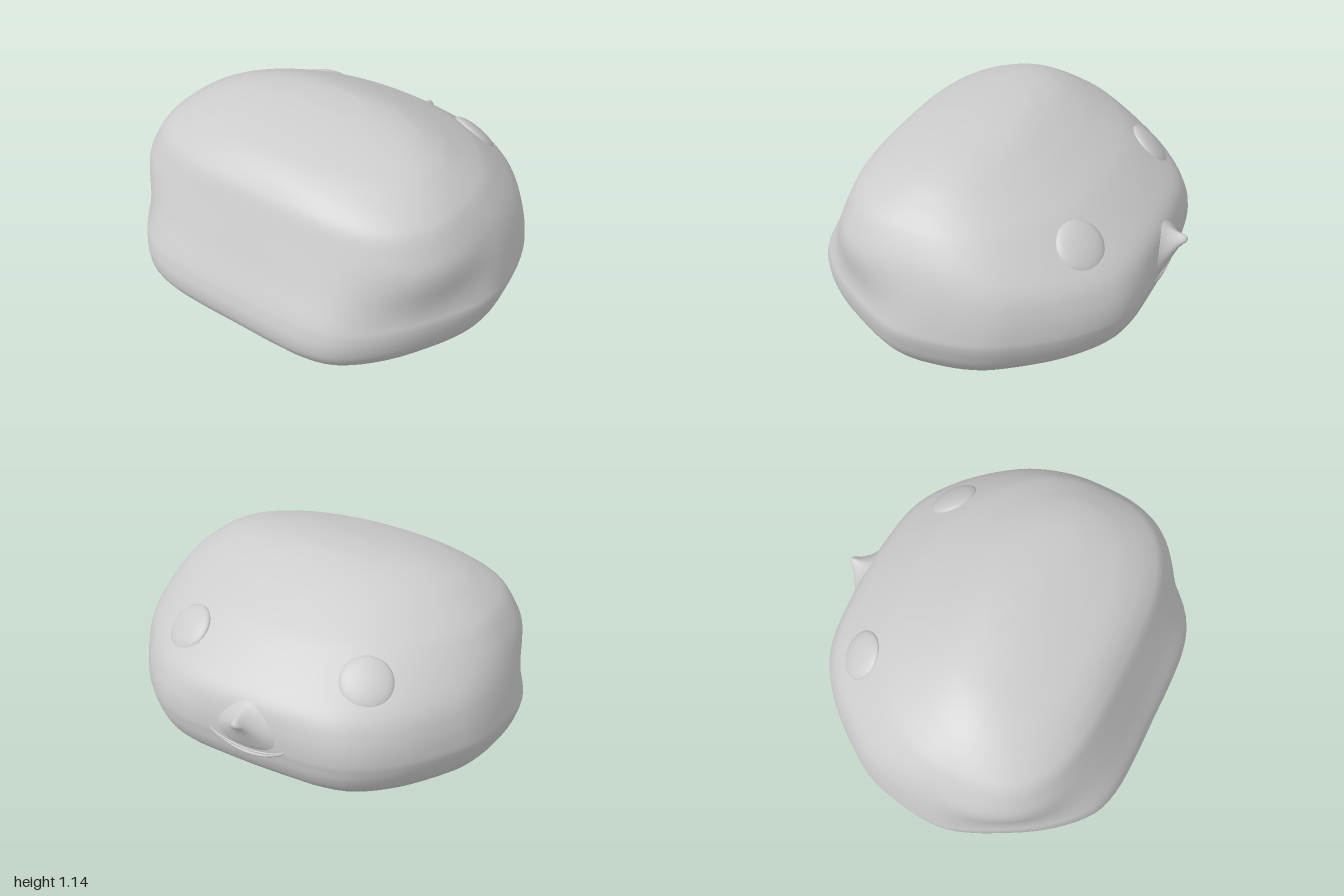
import * as THREE from 'three';

const { lerp, smoothstep } = THREE.MathUtils;
const material = new THREE.MeshStandardMaterial({ color: 0xcccccc, side: THREE.DoubleSide });

// Smooth skin over closed rings of points
function loft(rings) {
  const n = rings[0].length, index = [];
  for (let i = 0; i < rings.length - 1; i++) {
    for (let j = 0; j < n; j++) {
      const k = (j + 1) % n;
      const a = i * n + j, b = a + n, c = i * n + k, d = c + n;
      index.push(a, c, b, c, d, b);
    }
  }
  const geometry = new THREE.BufferGeometry().setFromPoints(rings.flat());
  geometry.setIndex(index);
  geometry.computeVertexNormals();
  return geometry;
}

function mesh(name, geometry) {
  const m = new THREE.Mesh(geometry, material);
  m.name = name;
  return m;
}

// Plan outline of one side: [along the length, half width], nose end to tail end
const PLAN = [
  [1, 0], [0.995, 0.2], [0.985, 0.35], [0.955, 0.47], [0.9, 0.565], [0.785, 0.69], [0.67, 0.78],
  [0.555, 0.855], [0.44, 0.92], [0.3, 0.965], [0.13, 0.992], [0, 1], [-0.13, 0.988], [-0.25, 0.955],
  [-0.385, 0.905], [-0.64, 0.79], [-0.83, 0.665], [-0.936, 0.555], [-0.985, 0.42], [-1, 0.25], [-1, 0],
];

// Body levels from crown to underside: height, tail x, face x, half width
const LEVELS = [
  [1.14, -0.06, -0.06, 0], [1.137, -0.12, 0, 0.1], [1.13, -0.19, 0.05, 0.23], [1.1, -0.33, 0.14, 0.46],
  [1.05, -0.49, 0.25, 0.62], [1, -0.575, 0.345, 0.71], [0.95, -0.625, 0.435, 0.78],
  [0.9, -0.66, 0.515, 0.833], [0.8, -0.705, 0.645, 0.9], [0.7, -0.75, 0.752, 0.943],
  [0.6, -0.795, 0.788, 0.972], [0.5, -0.845, 0.795, 0.994], [0.45, -0.865, 0.79, 1],
  [0.38, -0.88, 0.775, 0.985], [0.3, -0.865, 0.73, 0.955], [0.2, -0.78, 0.615, 0.88],
  [0.1, -0.6, 0.44, 0.75], [0.05, -0.42, 0.3, 0.62], [0.02, -0.24, 0.18, 0.47],
  [0.005, -0.1, 0.08, 0.26], [0, -0.01, -0.01, 0],
];

function bodyGeometry() {
  const mirrored = PLAN.slice(1, -1).reverse().map(([p, z]) => [p, -z]);
  const outline = new THREE.CatmullRomCurve3(
    [...PLAN, ...mirrored].map(([p, z]) => new THREE.Vector3(p, 0, z)), true
  ).getSpacedPoints(120).slice(0, -1);
  const level = new THREE.CubicInterpolant(LEVELS.map((_, i) => i), LEVELS.flat(), 4);
  const rings = [], steps = 4 * (LEVELS.length - 1);
  for (let i = 0; i <= steps; i++) {
    const [y, tail, face, half] = level.evaluate(i / 4);
    const mid = tail + 0.46 * (face - tail);
    // Above the waist the brow turns elliptical and the rump squarer, rounding off at the crown
    const browBlend = 0.85 * smoothstep(y, 0.5, 0.85) + 0.7 * (1 - smoothstep(y, 0.02, 0.2));
    const rumpBlend = smoothstep(y, 0.48, 0.78);
    const rumpPower = lerp(3, 2, smoothstep(y, 0.88, 1.08));
    rings.push(outline.map(({ x, z }) => {
      const power = x > 0 ? 2 : rumpPower;
      const reach = (Math.abs(x) ** power + Math.abs(z) ** power) ** (-1 / power);
      const k = lerp(1, reach, x > 0 ? browBlend : rumpBlend);
      return new THREE.Vector3(mid + k * x * (x > 0 ? face - mid : mid - tail), y, k * z * half);
    }));
  }
  return loft(rings);
}

// Pointed snout growing out of the face, tip first: rise, centre height, half height, half width
const NOSE = [
  [0.106, 0.64, 0, 0], [0.104, 0.64, 0.01, 0.01], [0.097, 0.638, 0.018, 0.019], [0.081, 0.634, 0.026, 0.028],
  [0.061, 0.6235, 0.0385, 0.041], [0.043, 0.6095, 0.0575, 0.062], [0.026, 0.594, 0.08, 0.088],
  [0.012, 0.5815, 0.1015, 0.115], [0.003, 0.576, 0.117, 0.138], [-0.006, 0.575, 0.125, 0.158],
];

function noseGeometry(faceHit) {
  return loft(NOSE.map(([rise, cy, ry, rz]) => Array.from({ length: 40 }, (_, j) => {
    const a = (j / 40) * Math.PI * 2;
    const y = cy + ry * Math.sin(a);
    const z = rz * Math.cos(a) * (1 - 0.4 * Math.sin(a));
    return new THREE.Vector3(faceHit(y, z).x + rise, y, z);
  })));
}

export function createModel() {
  const model = new THREE.Group();
  model.name = 'roundCreature';
  const body = mesh('body', bodyGeometry());

  // Finds the face surface at a given height and side position
  const faceHit = (y, z) => new THREE.Raycaster(
    new THREE.Vector3(2, y, z), new THREE.Vector3(-1, 0, 0)).intersectObject(body)[0].point;

  model.add(body, mesh('nose', noseGeometry(faceHit)));

  // Shallow domed eyes lying on the skin, looking up and outwards
  for (const [name, side] of [['rightEye', -1], ['leftEye', 1]]) {
    const gaze = new THREE.Vector3(0.6, 0.71, 0.32 * side).normalize();
    const eye = mesh(name, new THREE.SphereGeometry(1, 40, 24));
    eye.scale.set(0.125, 0.125, 0.035);
    eye.position.copy(faceHit(0.815, side * 0.48)).addScaledVector(gaze, -0.01);
    eye.lookAt(eye.position.clone().add(gaze));
    model.add(eye);
  }

  // Smiling mouth: two thin lips that meet at the corners
  for (const [name, sag, thickness] of [['upperLip', 0.052, 0.006], ['lowerLip', 0.07, 0.009]]) {
    const points = [];
    for (let i = -6; i <= 6; i++) {
      const t = i / 6, y = 0.49 - sag * (1 - t * t), z = t * 0.2;
      points.push(new THREE.Vector3(faceHit(y, z).x - 0.006 * t ** 4, y, z));
    }
    model.add(mesh(name, new THREE.TubeGeometry(new THREE.CatmullRomCurve3(points), 48, thickness, 10)));
  }
  return model;
}
